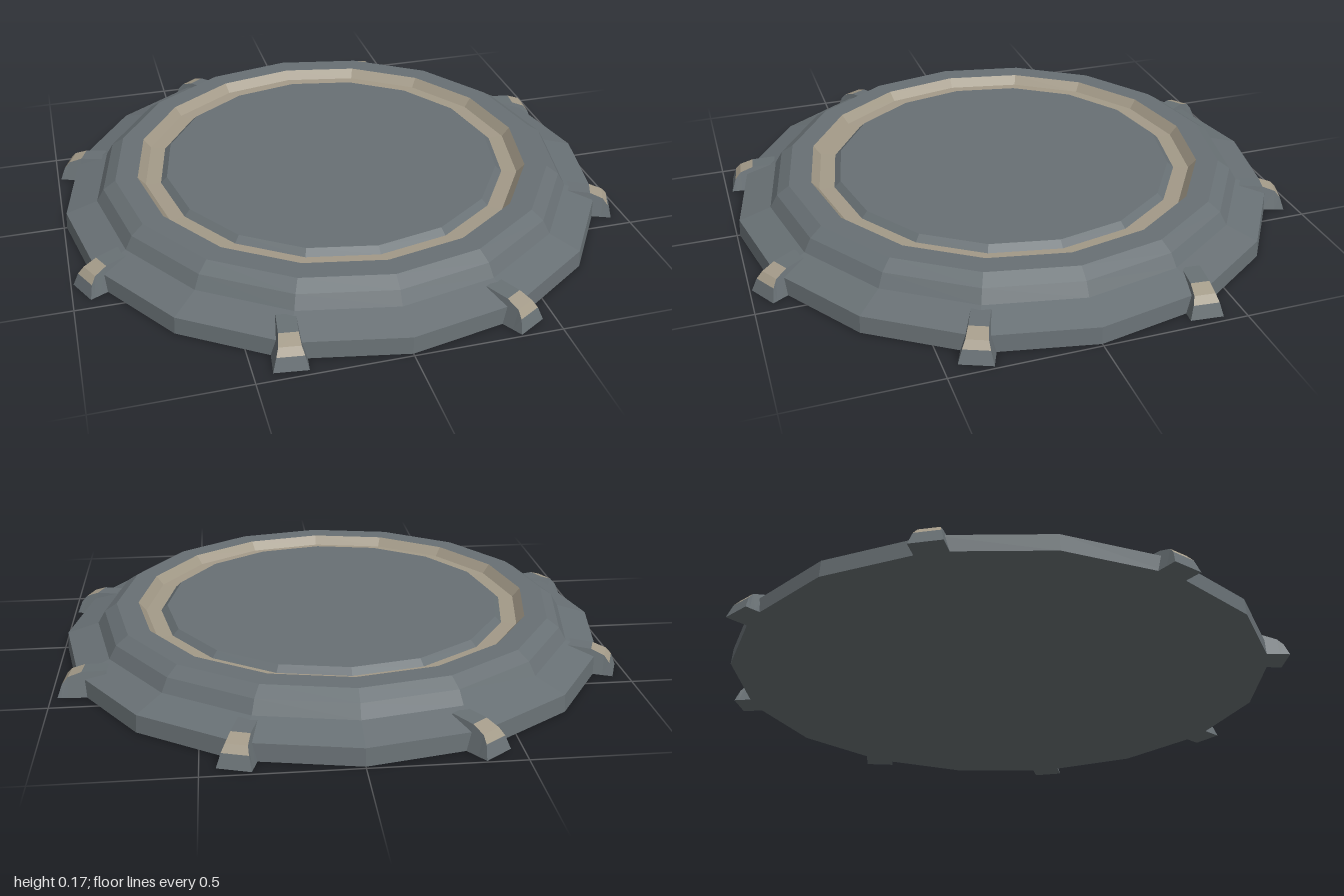
import * as THREE from 'three';

const SIDES = 16;

export function createModel() {
  const grey = new THREE.MeshStandardMaterial({ name: 'slateGrey', color: 0x687074, flatShading: true });
  const tan = new THREE.MeshStandardMaterial({ name: 'sandTan', color: 0xa39a88, flatShading: true });
  const model = new THREE.Group();
  model.name = 'roundPad';

  const ring = (name, material, profile) => {
    const points = profile.map(([r, y]) => new THREE.Vector2(r, y));
    const mesh = new THREE.Mesh(new THREE.LatheGeometry(points, SIDES), material);
    mesh.name = name;
    model.add(mesh);
  };

  // Stepped base with a rounded shoulder, groove and raised centre
  ring('base', grey, [
    [0, 0], [0.99, 0], [0.985, 0.06], [0.872, 0.095], [0.845, 0.14], [0.8, 0.17], [0.72, 0.17],
  ]);
  ring('groove', tan, [[0.72, 0.17], [0.693, 0.137], [0.638, 0.135]]);
  ring('centrePlate', grey, [[0.638, 0.135], [0.615, 0.156], [0, 0.156]]);

  // Clamps around the rim, each turned a little differently
  const clampGeometry = makeClampGeometry();
  [8, 0, -28, 5, 14, 0, 4, 15].forEach((turn, i) => {
    const angle = THREE.MathUtils.degToRad(22.5 + i * 45);
    const clamp = new THREE.Mesh(clampGeometry, [grey, tan]);
    clamp.name = 'rimClamp' + (i + 1);
    clamp.position.set(Math.sin(angle) * 0.98, 0, Math.cos(angle) * 0.98);
    clamp.rotation.y = angle + THREE.MathUtils.degToRad(turn);
    model.add(clamp);
  });
  return model;
}

// Tapered wedge pointing along +z: grey body, tan sloped cap
function makeClampGeometry() {
  // z, height, half width along the top, from the outer foot inwards
  const sections = [
    [0.068, 0, 0.056], [0.052, 0.045, 0.044], [0.032, 0.068, 0.036], [-0.015, 0.085, 0.032], [-0.1, 0.09, 0.032],
  ];
  const foot = 0.056;
  const greyFaces = [];
  const tanFaces = [];
  const quad = (list, a, b, c, d) => list.push(...a, ...b, ...c, ...a, ...c, ...d);

  for (let i = 0; i < sections.length - 1; i++) {
    const [z0, y0, w0] = sections[i];
    const [z1, y1, w1] = sections[i + 1];
    // top strip
    quad(i === 1 || i === 2 ? tanFaces : greyFaces,
      [-w0, y0, z0], [w0, y0, z0], [w1, y1, z1], [-w1, y1, z1]);
    // both flanks
    quad(greyFaces, [foot, 0, z0], [foot, 0, z1], [w1, y1, z1], [w0, y0, z0]);
    quad(greyFaces, [-foot, 0, z1], [-foot, 0, z0], [-w0, y0, z0], [-w1, y1, z1]);
  }
  // underside
  const [front, back] = [sections[0][0], sections[4][0]];
  quad(greyFaces, [-foot, 0, back], [foot, 0, back], [foot, 0, front], [-foot, 0, front]);

  const geometry = new THREE.BufferGeometry();
  geometry.setAttribute('position', new THREE.Float32BufferAttribute([...greyFaces, ...tanFaces], 3));
  geometry.addGroup(0, greyFaces.length / 3, 0);
  geometry.addGroup(greyFaces.length / 3, tanFaces.length / 3, 1);
  geometry.computeVertexNormals();
  return geometry;
}
